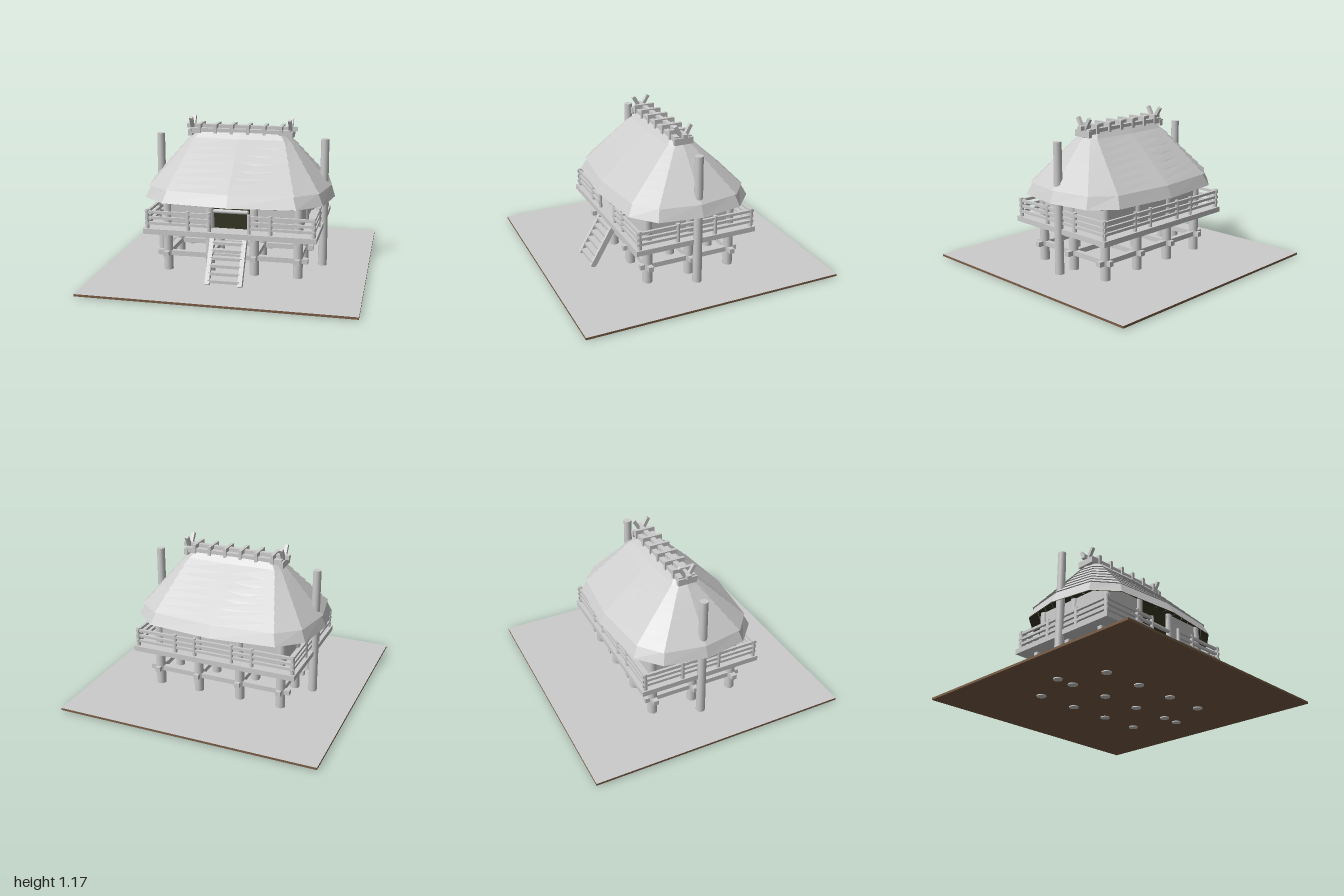
import * as THREE from 'three';

const mat = (name, color, extra = {}) => {
  const m = new THREE.MeshStandardMaterial({ color, ...extra });
  m.name = name;
  return m;
};

export function createModel() {
  const model = new THREE.Group();
  const grey = mat('weathered wood and thatch', 0xcccccc);
  const thatch = mat('thatch', 0xcccccc, { flatShading: true });
  const dark = mat('dark interior', 0x333322, { side: THREE.DoubleSide });
  const earth = mat('earth', 0x7a5d46);

  const add = (name, geo, material, x = 0, y = 0, z = 0, parent = model) => {
    const m = new THREE.Mesh(geo, material);
    m.name = name;
    m.position.set(x, y, z);
    parent.add(m);
    return m;
  };
  const box = (name, w, h, d, x, y, z, material = grey) =>
    add(name, new THREE.BoxGeometry(w, h, d), material, x, y, z);
  const post = (name, r0, r1, y0, y1, x, z) =>
    add(name, new THREE.CylinderGeometry(r1, r0, y1 - y0, 12), grey, x, (y0 + y1) / 2, z);
  // Bar between two points, square in section
  const bar = (name, a, b, w, d) => {
    const A = new THREE.Vector3(...a), B = new THREE.Vector3(...b);
    const m = box(name, w, A.distanceTo(B), d, 0, 0, 0);
    m.position.copy(A).add(B).multiplyScalar(0.5);
    m.quaternion.setFromUnitVectors(new THREE.Vector3(0, 1, 0), B.sub(A).normalize());
    return m;
  };

  // Ground plate: pale top, earth sides and underside
  add('ground', new THREE.BoxGeometry(2, 0.017, 2),
    [earth, earth, grey, earth, earth, earth], 0, 0.0165, 0);

  // Stilts, tie beams and floor beams
  const xs = [-0.5, -0.17, 0.17, 0.5], zs = [-0.335, 0, 0.335];
  for (const x of xs) for (const z of zs) post('stilt', 0.037, 0.033, 0, 0.68, x, z);
  for (const y of [0.158, 0.315]) {
    for (const z of zs) box('longBeam', 1.15, 0.038, 0.04, 0, y, z);
    for (const x of xs) box('crossBeam', 0.04, 0.038, 0.8, x, y, 0);
  }
  for (const s of [-1, 1]) post('ridgePost', 0.035, 0.031, 0, 1.02, s * 0.645, 0);

  // Deck and walls
  box('deck', 1.3, 0.04, 0.96, 0, 0.355, 0);
  for (const s of [-1, 1]) box('endWall', 0.03, 0.31, 0.67, s * 0.5, 0.525, 0);
  box('backWall', 1, 0.31, 0.03, 0, 0.525, -0.335);
  for (const s of [-1, 1]) box('frontWall', 0.36, 0.31, 0.03, s * 0.32, 0.525, 0.335);
  box('doorway', 0.28, 0.31, 0.008, 0, 0.53, 0.335, dark);
  const latch = add('doorBar', new THREE.CapsuleGeometry(0.016, 0.24, 4, 10), grey, 0, 0.515, 0.375);
  latch.rotation.z = Math.PI / 2;

  // Railings, open in front of the door
  for (const y of [0.415, 0.457, 0.5]) {
    box('backRail', 1.28, 0.02, 0.02, 0, y, -0.45);
    for (const s of [-1, 1]) {
      box('sideRail', 0.02, 0.02, 0.94, s * 0.625, y, 0);
      box('frontRail', 0.5, 0.02, 0.02, s * 0.39, y, 0.45);
    }
  }
  for (const s of [-1, 1]) {
    for (const z of [-0.45, -0.15, 0.15, 0.45]) post('railPost', 0.016, 0.016, 0.37, 0.52, s * 0.625, z);
    for (const z of [-0.45, 0.45])
      for (const x of [0.31, 0.15]) post('railPost', 0.014, 0.014, 0.37, 0.52, s * x, z);
  }

  // Ladder
  for (const s of [-1, 1])
    bar('ladderSide', [s * 0.122, 0.025, 0.632], [s * 0.122, 0.35, 0.44], 0.033, 0.042);
  for (let i = 0; i < 6; i++) {
    const y = 0.055 + i * 0.049;
    box('ladderStep', 0.23, 0.022, 0.045, 0, y, 0.632 - (y - 0.025) * 0.59);
  }

  // Roof rings: one quarter outline mirrored into twelve corners
  const ring = (y, q) => {
    const [e, a, b, m] = q;
    const h = [[e, 0], a, b, [0, m], [-b[0], b[1]], [-a[0], a[1]]];
    return [...h, ...h.map(([x, z]) => [-x, -z])].map(([x, z]) => [x, y, z]);
  };
  const low = [0.69, [0.635, 0.30], [0.47, 0.435], 0.48];
  const high = [0.395, [0.38, 0.06], [0.345, 0.1], 0.11];
  const mix = (t, out = 0) => {
    const l = (p, r) => p + (r - p) * t;
    const pair = (i, k) => l(low[i][k], high[i][k]) + out * 0.8;
    return ring(0.67 + 0.34 * t, [l(low[0], high[0]) + out,
      [pair(1, 0), pair(1, 1)], [pair(2, 0), pair(2, 1)], l(low[3], high[3]) + out]);
  };
  const loft = (rings, cap) => {
    const pos = [], n = 12;
    for (let i = 0; i + 1 < rings.length; i++)
      for (let j = 0; j < n; j++) {
        const k = (j + 1) % n, [p, q] = [rings[i], rings[i + 1]];
        pos.push(...p[j], ...q[j], ...p[k], ...p[k], ...q[j], ...q[k]);
      }
    const top = rings[rings.length - 1];
    if (cap) for (let j = 1; j < n - 1; j++) pos.push(...top[0], ...top[j + 1], ...top[j]);
    const g = new THREE.BufferGeometry();
    g.setAttribute('position', new THREE.Float32BufferAttribute(pos, 3));
    g.computeVertexNormals();
    return g;
  };
  const eave = ring(0.58, [0.73, [0.675, 0.325], [0.5, 0.48], 0.53]);
  const crown = ring(1.065, [0.33, [0.32, 0.035], [0.3, 0.055], 0.06]);
  add('roofThatch', loft([eave, mix(0), mix(1), crown], true), thatch);
  const lining = loft([eave, mix(0), mix(1)], true);
  lining.scale(0.992, 1, 0.992);
  add('roofLining', lining, dark, 0, -0.002, 0);
  // Overlapping thatch courses with a small lip
  const courses = 7;
  for (let i = 0; i < courses; i++) {
    const t = i / courses;
    add('thatchCourse', loft([mix(t, -0.01), mix(t, 0.014), mix(t + 1 / courses, 0.001)]), thatch);
  }

  // Ridge logs, straps and crossed end poles
  box('ridgeBeam', 0.86, 0.032, 0.035, 0, 1.087, 0);
  for (const s of [-1, 1]) {
    box('ridgeSideBeam', 0.78, 0.04, 0.04, 0, 1.06, s * 0.048);
    for (const d of [-1, 1])
      bar('crossedPole', [s * 0.383, 1.02, -d * 0.02], [s * 0.383, 1.16, d * 0.062], 0.026, 0.026);
    box('ridgeSaddle', 0.03, 0.05, 0.15, s * 0.39, 1.045, 0);
  }
  for (let i = 0; i < 6; i++)
    box('ridgeStrap', 0.024, 0.07, 0.16, -0.315 + i * 0.126, 1.077, 0);

  return model;
}
